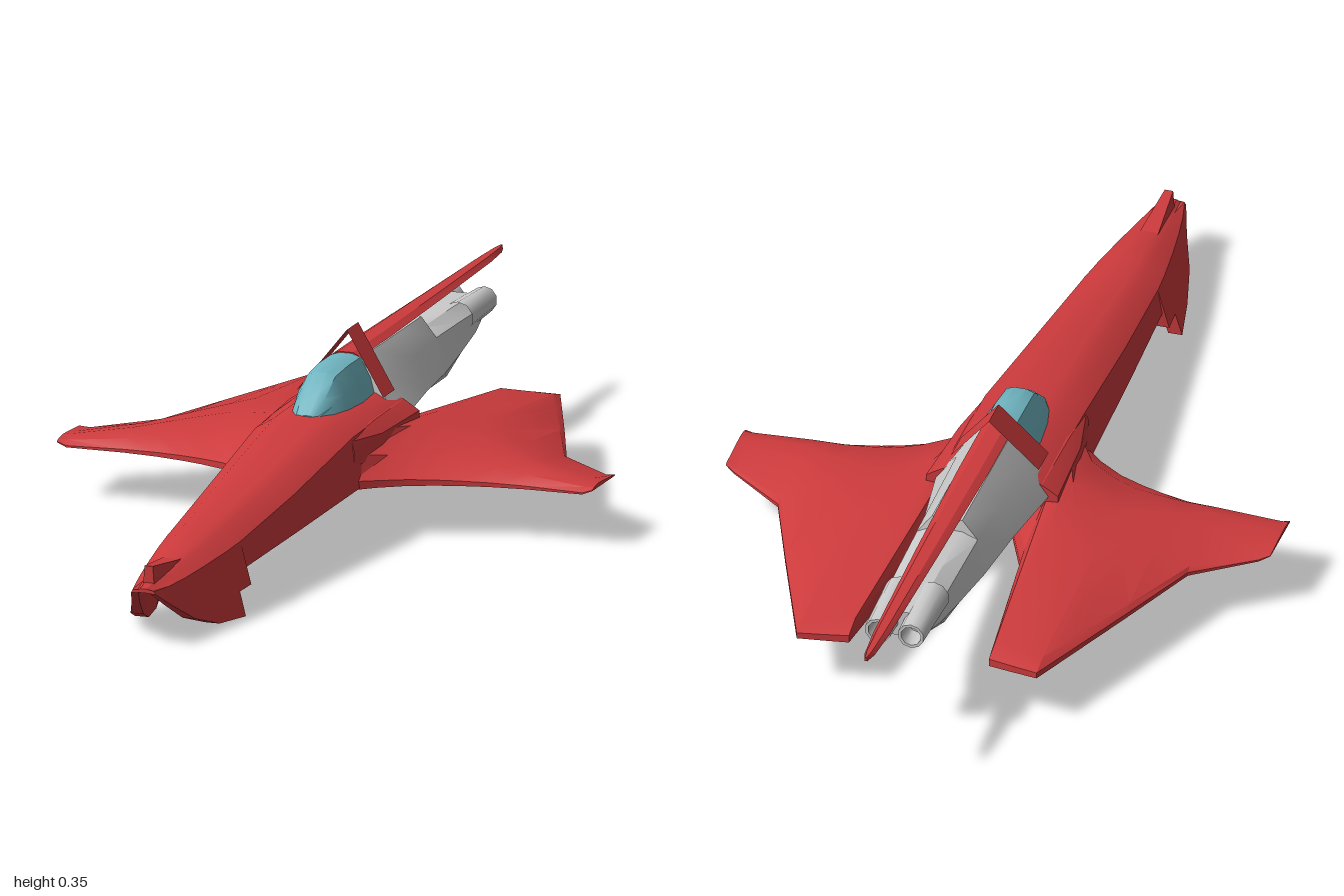
import * as THREE from 'three';
import { toCreasedNormals } from 'three/addons/utils/BufferGeometryUtils.js';

const red = new THREE.MeshStandardMaterial({ color: 0xcc3a3c, side: THREE.DoubleSide });
const glass = new THREE.MeshStandardMaterial({ color: 0x6fb4c0, side: THREE.DoubleSide });
const grey = new THREE.MeshStandardMaterial({ color: 0xcccccc, side: THREE.DoubleSide });

// Skin closed rings of [x, y, z] points, cap both ends and face the result outwards
function loft(rings, crease = 0.6) {
  const n = rings[0].length, last = rings.length - 1, tris = [];
  for (let i = 0; i < last; i++) {
    for (let j = 0; j < n; j++) {
      const k = (j + 1) % n;
      const a = rings[i][j], b = rings[i][k], c = rings[i + 1][k], d = rings[i + 1][j];
      tris.push([a, b, c], [a, c, d]);
    }
  }
  for (let j = 1; j < n - 1; j++) {
    tris.push([rings[0][0], rings[0][j + 1], rings[0][j]]);
    tris.push([rings[last][0], rings[last][j], rings[last][j + 1]]);
  }
  let volume = 0;
  for (const [a, b, c] of tris) {
    volume += new THREE.Vector3(...a).dot(new THREE.Vector3(...b).cross(new THREE.Vector3(...c)));
  }
  if (volume < 0) tris.forEach((t) => t.reverse());
  const geo = new THREE.BufferGeometry();
  geo.setAttribute('position', new THREE.Float32BufferAttribute(tris.flat(2), 3));
  return toCreasedNormals(geo, crease);
}

// Mirror half a cross-section (top to bottom, x > 0) into a full ring at z
function ring(z, half) {
  const left = half.map(([x, y]) => [x, y, z]);
  const right = half.map(([x, y]) => [-x, y, z]).reverse();
  return [...left, ...right];
}

export function createModel() {
  const group = new THREE.Group();
  const add = (name, geo, mat) => {
    const mesh = new THREE.Mesh(geo, mat);
    mesh.name = name;
    group.add(mesh);
    return mesh;
  };

  // Fuselage: z, top y, top half-width, shoulder x, shoulder y, skirt x, skirt y
  const hull = [
    [1.0, 0.117, 0.013, 0.022, 0.114, 0.025, 0.108],
    [0.95, 0.125, 0.018, 0.034, 0.113, 0.042, 0.075],
    [0.89, 0.133, 0.024, 0.045, 0.116, 0.066, 0.037],
    [0.81, 0.144, 0.03, 0.057, 0.122, 0.086, 0.01],
    [0.715, 0.156, 0.037, 0.069, 0.13, 0.105, 0.003],
    [0.712, 0.156, 0.037, 0.069, 0.13, 0.092, 0.05],
    [0.66, 0.163, 0.04, 0.074, 0.135, 0.096, 0.052],
    [0.657, 0.163, 0.04, 0.074, 0.135, 0.083, 0.083],
    [0.4, 0.196, 0.052, 0.088, 0.165, 0.098, 0.094],
    [0.1, 0.235, 0.062, 0.1, 0.207, 0.112, 0.106],
    [-0.18, 0.24, 0.062, 0.1, 0.213, 0.125, 0.108],
  ];
  add('fuselage', loft(hull.map(([z, yt, wt, xs, ys, xk, yk]) => {
    const roof = Math.min(ys - 0.005, 0.11 + (1 - z) * 0.03);
    const wall = Math.min(0.028, xk * 0.4);
    return ring(z, [[wt * 0.5, yt], [wt, yt - 0.005], [xs, ys],
      [xk, yk], [xk - wall, yk], [Math.max(0.01, xs - 0.03), roof]]);
  }), 0.5), red);

  // Keel beam in the hollow belly
  const keel = [[0.97, 0.012, 0.105], [0.85, 0.025, 0.09], [0.66, 0.035, 0.075], [0.1, 0.05, 0.106]];
  add('keel', loft(keel.map(([z, w, y]) => ring(z, [[w * 0.7, y + 0.05], [w, y]])), 0.3), red);

  // Wings: x, leading z, trailing z, crest height
  const span = [
    [0, 0.13, -0.1, 0.18], [0.1, 0.11, -0.32, 0.198], [0.14, 0.075, -0.655, 0.182],
    [0.19, 0.042, -0.663, 0.173], [0.24, 0.022, -0.67, 0.165], [0.28, 0.01, -0.57, 0.159],
    [0.34, -0.003, -0.42, 0.15], [0.41, -0.01, -0.24, 0.14], [0.525, -0.01, -0.152, 0.123],
    [0.545, -0.012, -0.14, 0.12],
  ];
  const chord = [[0, 0], [0, 0.18], [0.08, 0.65], [0.25, 1], [0.45, 0.9], [0.94, 0.38], [1, 0.2], [1, 0]];
  for (const side of [1, -1]) {
    const label = side > 0 ? 'left' : 'right';
    add(label + 'Wing', loft(span.map(([x, zl, zt, top]) => {
      const base = x > 0.53 ? 0.112 : 0.104;
      return chord.map(([t, h]) => [side * x, base + h * (top - base), zl + t * (zt - zl)]);
    }), 0.45), red);

    // Shoulder fairing beside the cockpit
    const fairing = [[0.11, 0.1, 0.105, 0.2], [0.0, 0.1, 0.122, 0.212], [-0.18, 0.1, 0.132, 0.214]];
    add(label + 'Fairing', loft(fairing.map(([z, x0, x1, y]) => [
      [side * 0.08, y, z], [side * x0, y, z], [side * x1, y - 0.02, z],
      [side * x1, 0.15, z], [side * 0.08, 0.15, z]]), 0.4), red);

    // Thin swept plate of the roll hoop, running from the hull up to the centre line
    const hoop = new THREE.PlaneGeometry(1, 1);
    const p = hoop.attributes.position;
    for (let i = 0; i < p.count; i++) {
      const up = p.getY(i) + 0.5, back = p.getX(i) + 0.5;
      p.setXYZ(i, side * 0.088 * (1 - up), 0.235 + 0.117 * up, -0.098 - 0.038 * up - 0.064 * back);
    }
    hoop.computeVertexNormals();
    add(label + 'Hoop', hoop, red);

    // Hollow exhaust nozzle
    const profile = [[0.031, 0], [0.026, 0.15], [0.02, 0.15], [0.017, 0.08], [0, 0.08]];
    const nozzle = new THREE.LatheGeometry(profile.map((q) => new THREE.Vector2(...q)), 10);
    nozzle.rotateX(-Math.PI / 2);
    add(label + 'Nozzle', toCreasedNormals(nozzle, 0.7), grey)
      .position.set(side * 0.033, 0.25, -0.665);
  }

  // Canopy: z, top y, top half-width, base half-width
  const canopy = [
    [0.088, 0.237, 0.015, 0.026], [0.05, 0.27, 0.024, 0.045], [0.005, 0.302, 0.028, 0.056],
    [-0.06, 0.308, 0.03, 0.063], [-0.135, 0.308, 0.03, 0.06],
  ];
  add('canopy', loft(canopy.map(([z, y, wt, wb]) => ring(z, [
    [wt * 0.4, y], [wt, y - 0.006], [(wt + wb * 2) / 3, 0.23 + (y - 0.23) * 0.45], [wb, 0.228]])), 0.6), glass);

  // Engine body: z, top y, upper side, lower side and belly corners
  const engine = [
    [-0.13, 0.3, 0.068, 0.25, 0.1, 0.19, 0.06, 0.165],
    [-0.18, 0.3, 0.07, 0.25, 0.113, 0.19, 0.06, 0.165],
    [-0.34, 0.3, 0.065, 0.255, 0.09, 0.19, 0.05, 0.16],
    [-0.47, 0.3, 0.06, 0.262, 0.077, 0.19, 0.042, 0.155],
    [-0.473, 0.276, 0.06, 0.26, 0.077, 0.19, 0.042, 0.155],
    [-0.6, 0.276, 0.058, 0.258, 0.064, 0.2, 0.034, 0.15],
    [-0.7, 0.275, 0.056, 0.255, 0.057, 0.215, 0.03, 0.187],
    [-0.77, 0.272, 0.045, 0.255, 0.047, 0.23, 0.025, 0.218],
  ];
  add('engineBody', loft(engine.map(([z, yt, x1, y1, x2, y2, x3, y3]) =>
    ring(z, [[0.03, yt], [x1, y1], [x2, y2], [x3, y3]])), 0.5), grey);

  // Long flat tail spine
  const spine = [[-0.13, 0.03], [-0.3, 0.03], [-0.6, 0.024], [-0.9, 0.016], [-0.975, 0.01], [-1, 0.003]];
  add('tailSpine', loft(spine.map(([z, w]) => ring(z, [[w * 0.5, 0.31], [w, 0.302]])), 0.4), red);

  return group;
}
